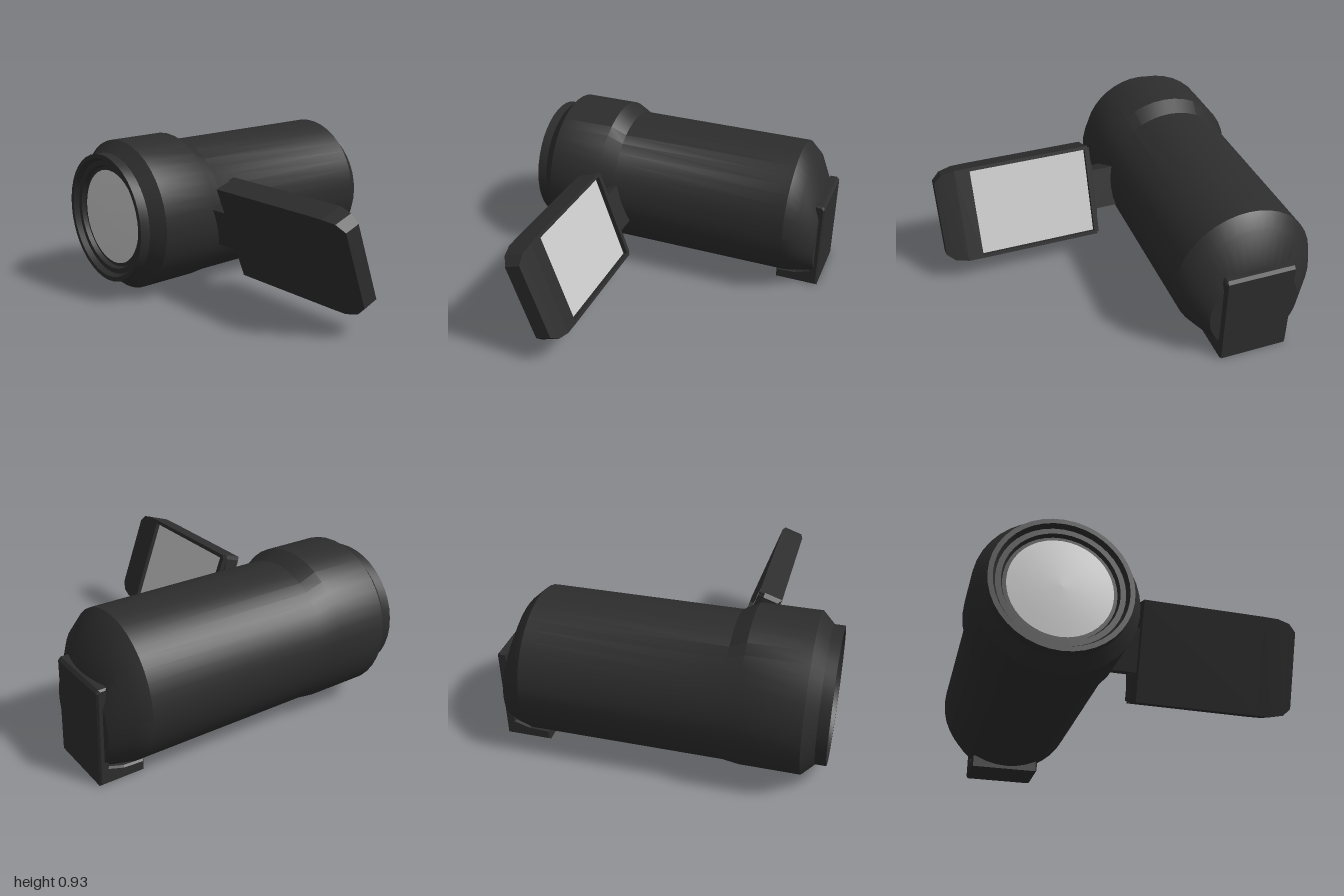
import * as THREE from 'three';
import { toCreasedNormals } from 'three/addons/utils/BufferGeometryUtils.js';

const dark = new THREE.MeshStandardMaterial({ color: 0x2d2d2d });
const grey = new THREE.MeshStandardMaterial({ color: 0xcccccc });

// Closed solid through rings of equal point count, counter-clockwise about the loft direction
function loft(rings, crease) {
  const n = rings[0].length;
  const pos = [];
  const tri = (...pts) => pts.forEach((p) => pos.push(p.x, p.y, p.z));
  const middle = (ring) => ring.reduce((s, p) => s.add(p), new THREE.Vector3()).divideScalar(n);
  const first = rings[0];
  const last = rings[rings.length - 1];
  const c0 = middle(first);
  const c1 = middle(last);
  for (let j = 0; j < n; j++) {
    const k = (j + 1) % n;
    tri(c0, first[k], first[j]);
    tri(c1, last[j], last[k]);
    for (let i = 0; i < rings.length - 1; i++) {
      const a = rings[i];
      const b = rings[i + 1];
      tri(a[j], a[k], b[k]);
      tri(a[j], b[k], b[j]);
    }
  }
  const g = new THREE.BufferGeometry();
  g.setAttribute('position', new THREE.Float32BufferAttribute(pos, 3));
  return toCreasedNormals(g, crease);
}

function circleRing([x, cy, r], sides = 40) {
  return Array.from({ length: sides }, (_, i) => {
    const a = (i / sides) * Math.PI * 2;
    return new THREE.Vector3(x, cy + r * Math.cos(a), -0.545 + r * Math.sin(a));
  });
}

// Rectangle at depth z, from u0 to u1 in thickness and +-h in height
function rectRing([z, u0, u1, h]) {
  return [[u0, -h], [u1, -h], [u1, h], [u0, h]].map(([x, y]) => new THREE.Vector3(x, y, z));
}

function add(parent, name, geometry, material = dark) {
  const mesh = new THREE.Mesh(geometry, material);
  mesh.name = name;
  parent.add(mesh);
  return mesh;
}

function addBox(parent, name, size, at, material) {
  add(parent, name, new THREE.BoxGeometry(...size), material).position.set(...at);
}

export function createModel() {
  const model = new THREE.Group();

  // Barrel: recessed lens opening, wide hood, tube and sloping rear, as [x, centre y, radius]
  const barrel = [
    [-0.895, 0.47, 0.27], [-0.895, 0.47, 0.305], [-0.92, 0.47, 0.315], [-0.92, 0.47, 0.345],
    [-0.95, 0.47, 0.36], [-0.95, 0.47, 0.387], [-0.89, 0.47, 0.387], [-0.82, 0.47, 0.455],
    [-0.48, 0.47, 0.455], [-0.385, 0.446, 0.425], [0.74, 0.445, 0.425],
    [0.815, 0.415, 0.385], [0.915, 0.305, 0.275],
  ];
  add(model, 'barrel', loft(barrel.map((s) => circleRing(s)), 0.5));

  // Shallow domed lens
  const dome = [[0, 0.02], [0.1, 0.017], [0.2, 0.009], [0.285, 0]].reverse();
  const lens = add(model, 'lens',
    new THREE.LatheGeometry(dome.map(([r, h]) => new THREE.Vector2(r, h)), 40), grey);
  lens.rotation.z = Math.PI / 2;
  lens.position.set(-0.9, 0.47, -0.545);

  // Rear plate with a foot under the barrel
  const profile = [
    [0.685, 0.01], [0.935, 0.01], [0.935, 0.56], [0.925, 0.572], [0.895, 0.572],
    [0.895, 0.095], [0.8, 0.065], [0.685, 0.06],
  ];
  const foot = new THREE.ExtrudeGeometry(
    new THREE.Shape(profile.map(([x, y]) => new THREE.Vector2(x, y))),
    { depth: 0.41, bevelThickness: 0.01, bevelSize: 0.01, bevelSegments: 1 });
  add(model, 'rearFoot', foot).position.z = -0.76;

  // Tilted flip-out screen
  const flip = new THREE.Group();
  flip.name = 'flipScreen';
  flip.position.set(-0.381, 0.425, 0);
  flip.rotation.z = THREE.MathUtils.degToRad(19);
  model.add(flip);

  addBox(flip, 'hingeArm', [0.13, 0.26, 0.24], [0, 0, -0.09]);
  const tray = [
    [-0.015, -0.045, 0.04, 0.15], [0, -0.055, 0.04, 0.28],
    [0.025, -0.0725, 0.04, 0.299], [0.78, -0.0725, 0.04, 0.299],
  ];
  add(flip, 'screenBack', loft(tray.map(rectRing), 0.1));
  const grip = [
    [0.775, -0.0725, 0.0725, 0.299], [0.87, -0.0725, 0.0725, 0.297],
    [0.95, -0.06, 0.06, 0.28], [1, -0.048, 0.048, 0.235],
  ];
  add(flip, 'screenEnd', loft(grip.map(rectRing), 0.1));

  // Raised bezel round the display
  for (const s of [-1, 1]) {
    addBox(flip, 'bezelSide', [0.0335, 0.022, 0.765], [0.0558, s * 0.288, 0.3925]);
  }
  addBox(flip, 'bezelInner', [0.0335, 0.57, 0.03], [0.0558, 0, 0.015]);
  addBox(flip, 'display', [0.01, 0.554, 0.745], [0.039, 0, 0.4025], grey);

  return model;
}
